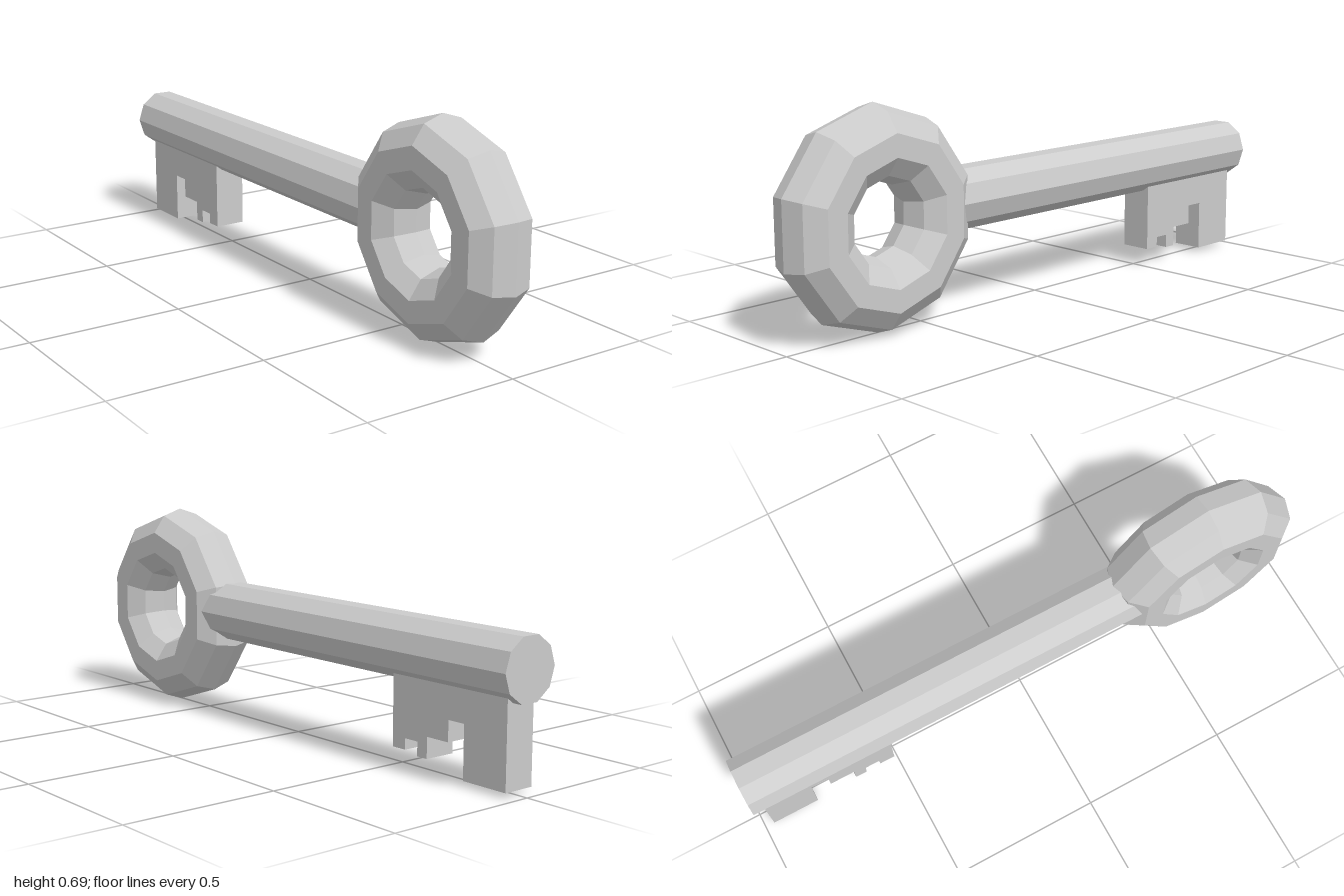
import * as THREE from 'three';

export function createModel() {
  const key = new THREE.Group();
  key.name = 'key';
  const material = new THREE.MeshStandardMaterial({ color: 0xcccccc, flatShading: true });

  const addPart = (name, geometry, x, y, z) => {
    const mesh = new THREE.Mesh(geometry, material);
    mesh.name = name;
    mesh.position.set(x, y, z);
    key.add(mesh);
  };

  // Ten-sided ring handle, standing with a corner at the top
  const ring = new THREE.TorusGeometry(0.231, 0.1157, 10, 10);
  ring.rotateZ(Math.PI / 2).rotateY(Math.PI / 2);
  addPart('handleRing', ring, 0, 0.347, 0.67);

  // Ten-sided shaft, its front end buried in the ring
  const front = 0.44, back = -1;
  const shaft = new THREE.CylinderGeometry(0.1, 0.1, front - back, 10);
  shaft.rotateY(Math.PI / 2).rotateX(Math.PI / 2);
  addPart('shaft', shaft, 0, 0.363, (front + back) / 2);

  // Toothed bit: outline as [distance towards the back, height]
  const outline = [
    [0.512, 0.33], [0.512, 0.06], [0.565, 0.06], [0.565, 0.095],
    [0.617, 0.095], [0.617, 0.05], [0.657, 0.05], [0.657, 0.117],
    [0.743, 0.117], [0.743, 0.183], [0.805, 0.183], [0.805, 0.016],
    [0.968, 0.016], [0.968, 0.33],
  ];
  const thickness = 0.106;
  const shape = new THREE.Shape(outline.map(([d, h]) => new THREE.Vector2(d, h)));
  const bit = new THREE.ExtrudeGeometry(shape, { depth: thickness, bevelEnabled: false });
  bit.translate(0, 0, -thickness / 2).rotateY(Math.PI / 2);
  addPart('bit', bit, 0, 0, 0);

  return key;
}
